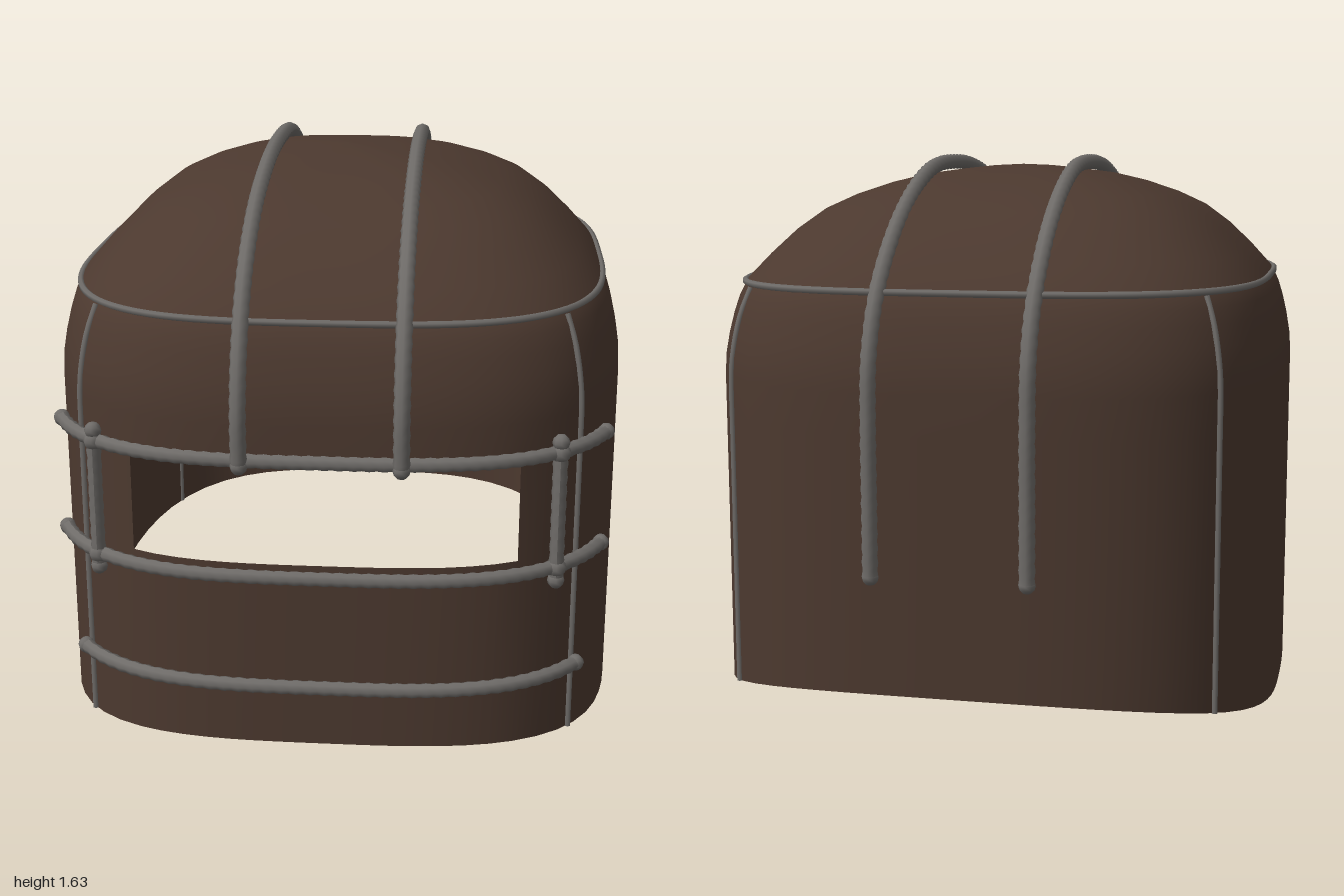
import * as THREE from 'three';

const HALF_X = 0.83, HALF_Z = 0.943, POWER = 3.2;
const WINDOW_ANGLE = 0.548, WINDOW_LOW = 0.605, WINDOW_HIGH = 0.885;

// Height and relative width of the shell above the straight wall
const PROFILE = [[1.0, 1], [1.06, 0.996], [1.12, 0.984], [1.18, 0.967], [1.225, 0.95], [1.27, 0.925], [1.34, 0.85],
  [1.41, 0.765], [1.47, 0.67], [1.51, 0.57], [1.545, 0.45], [1.57, 0.33], [1.585, 0.2], [1.594, 0.1], [1.598, 0]];

// Rounded-rectangle plan, measured by angle from the front
function plan(angle, y, scale = 1) {
  const s = Math.sin(angle), c = Math.cos(angle);
  const r = scale * (Math.abs(s / HALF_X) ** POWER + Math.abs(c / HALF_Z) ** POWER) ** (-1 / POWER);
  return new THREE.Vector3(s * r, y, c * r);
}

function rimHeight(z) {
  const d = z - 0.15;
  return d * d * (d > 0 ? 0.103 : 0.142);
}

function widthAt(y) {
  if (y <= PROFILE[0][0]) return 1;
  const i = PROFILE.findIndex((p) => p[0] >= y);
  const [a, b] = [PROFILE[i - 1], PROFILE[i]];
  return a[1] + (b[1] - a[1]) * (y - a[0]) / (b[0] - a[0]);
}

// Hollow shell with an open slot in the front
function shellGeometry() {
  const front = 16, rest = 64, columns = front + rest;
  const angles = [];
  for (let i = 0; i < front; i++) angles.push(-WINDOW_ANGLE + 2 * WINDOW_ANGLE * i / front);
  for (let i = 0; i < rest; i++) angles.push(WINDOW_ANGLE + (2 * Math.PI - 2 * WINDOW_ANGLE) * i / rest);
  const rows = [[0, 1], [0.25, 1], [WINDOW_LOW, 1], [WINDOW_HIGH, 1], ...PROFILE];
  const positions = [], indices = [];
  rows.forEach(([y, width], j) => angles.forEach((angle, i) => {
    const p = plan(angle, y, width);
    if (j === 0) p.y = rimHeight(p.z);
    positions.push(p.x, p.y, p.z);
    if (j === rows.length - 1 || (j === 2 && i < front)) return;
    const next = (i + 1) % columns;
    const a = j * columns + i, b = j * columns + next;
    indices.push(a, b, b + columns);
    if (j < rows.length - 2) indices.push(a, b + columns, a + columns);
  }));
  const geometry = new THREE.BufferGeometry();
  geometry.setAttribute('position', new THREE.Float32BufferAttribute(positions, 3));
  geometry.setIndex(indices);
  geometry.computeVertexNormals();
  return geometry;
}

// Ribbed rod: every second ring of the tube is a little thicker
function rodGeometry(curve, radius) {
  const sides = 8, steps = Math.max(8, Math.round(curve.getLength() / 0.02));
  const geometry = new THREE.TubeGeometry(curve, steps, radius, sides, false);
  const pos = geometry.attributes.position, p = new THREE.Vector3();
  for (let i = 0; i <= steps; i++) {
    const centre = curve.getPointAt(i / steps);
    for (let k = 0; k <= sides; k++) {
      const n = i * (sides + 1) + k;
      p.fromBufferAttribute(pos, n).sub(centre).multiplyScalar(i % 2 ? 1.12 : 0.98).add(centre);
      pos.setXYZ(n, p.x, p.y, p.z);
    }
  }
  geometry.computeVertexNormals();
  return geometry;
}

export function createModel() {
  const leather = new THREE.MeshStandardMaterial({ color: 0x4c392f, side: THREE.DoubleSide });
  leather.name = 'brown shell';
  const steel = new THREE.MeshStandardMaterial({ color: 0x6e6b68 });
  steel.name = 'grey metal';

  const model = new THREE.Group();
  model.name = 'helmet';
  const add = (name, geometry, material) => {
    const mesh = new THREE.Mesh(geometry, material);
    mesh.name = name;
    model.add(mesh);
    return mesh;
  };
  const knob = (name, p, radius = 0.024) =>
    add(name, new THREE.SphereGeometry(radius, 8, 6), steel).position.copy(p);
  const addRod = (name, curve, radius = 0.019) => {
    add(name, rodGeometry(curve, radius), steel);
    knob(name + 'Start', curve.getPoint(0));
    knob(name + 'End', curve.getPoint(1));
  };

  add('shell', shellGeometry(), leather);

  // Rods wrapped around the front
  for (const [name, y, end] of [['upperFrontRod', 0.91, 0.868], ['lowerFrontRod', 0.577, 0.868], ['chinRod', 0.25, 0.751]]) {
    const points = [];
    for (let i = 0; i <= 20; i++) points.push(plan(end * (i / 10 - 1), y, 1.026));
    addRod(name, new THREE.CatmullRomCurve3(points));
  }

  // Paired uprights beside the slot and long rods over the crown
  const arch = [[0.9, 0.98], [1.05, 0.98], [1.21, 0.93], [1.37, 0.81], [1.5, 0.6], [1.58, 0.3], [1.605, 0],
    [1.58, -0.34], [1.45, -0.66], [1.265, -0.88], [1.105, -0.96], [0.94, -0.975], [0.72, -0.975], [0.51, -0.975]];
  for (const [side, sign] of [['left', 1], ['right', -1]]) {
    const x = 0.635 * sign, z = 0.838;
    addRod(side + 'Upright', new THREE.LineCurve3(
      new THREE.Vector3(x, 0.54, z), new THREE.Vector3(x, 0.94, z)));
    for (const y of [0.577, 0.91]) knob(side + 'Joint', new THREE.Vector3(x, y, z), 0.028);
    addRod(side + 'CrownRod', new THREE.CatmullRomCurve3(
      arch.map(([y, az]) => new THREE.Vector3(0.215 * sign, y, az))), 0.021);
  }

  // Thin seam around the base of the dome
  const ring = [];
  for (let i = 0; i < 64; i++) ring.push(plan(i / 64 * 2 * Math.PI, 1.266, widthAt(1.266) + 0.003));
  add('domeSeam', new THREE.TubeGeometry(new THREE.CatmullRomCurve3(ring, true), 128, 0.01, 6, true), steel);

  // Thin upright seams at the four corners
  const corner = Math.atan2(0.69, 0.73);
  for (const angle of [corner, -corner, Math.PI - corner, Math.PI + corner]) {
    const bottom = rimHeight(plan(angle, 0).z), points = [];
    for (let i = 0; i <= 16; i++) {
      const y = bottom + (1.255 - bottom) * i / 16;
      points.push(plan(angle, y, widthAt(y) + 0.001));
    }
    add('cornerSeam', new THREE.TubeGeometry(new THREE.CatmullRomCurve3(points), 40, 0.009, 6), steel);
  }
  return model;
}
